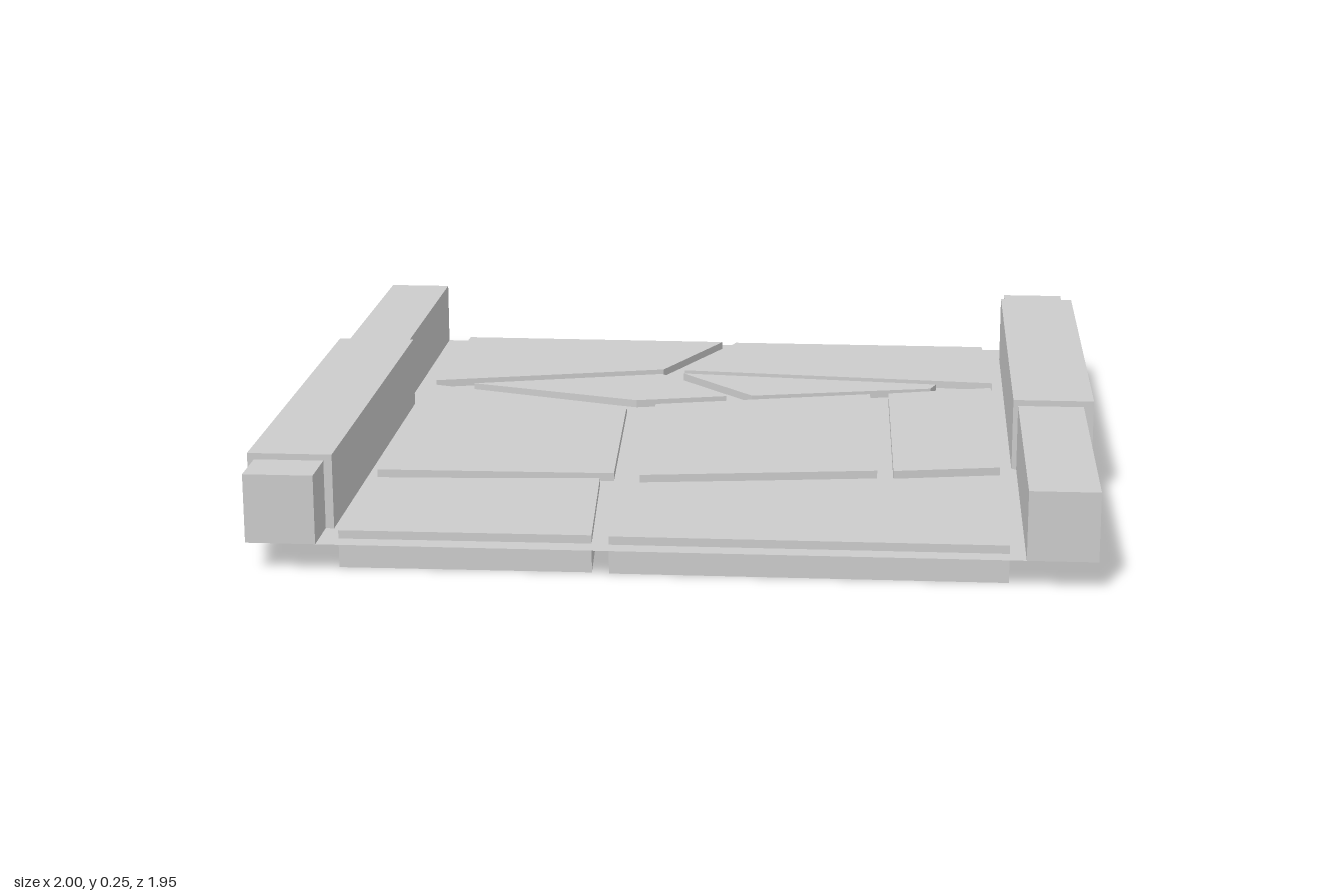
import * as THREE from 'three';

const STONE_TOP = 0.09, BED_Y = 0.07;

// Corners [x, z] of each paving stone, clockwise as seen from above
const STONES = [
  [[-0.75, -0.94], [-0.005, -0.935], [-0.15, -0.605], [-0.77, -0.44]],
  [[0.035, -0.93], [0.75, -0.93], [0.77, -0.52], [-0.09, -0.6]],
  [[-0.66, -0.415], [-0.15, -0.555], [0.045, -0.33], [-0.195, -0.27]],
  [[-0.09, -0.565], [0.615, -0.495], [0.6, -0.45], [0.115, -0.34]],
  [[-0.77, -0.395], [-0.215, -0.205], [-0.185, 0.42], [-0.775, 0.43]],
  [[-0.14, -0.235], [0.435, -0.38], [0.465, 0.35], [-0.12, 0.43]],
  [[0.485, -0.39], [0.765, -0.47], [0.77, 0.3], [0.505, 0.35]],
  [[-0.77, 0.5], [-0.215, 0.465], [-0.185, 0.92], [-0.775, 0.925]],
  [[-0.17, 0.5], [0.775, 0.38], [0.775, 0.925], [-0.145, 0.925]],
];

// A stone is a flat top with vertical walls, open underneath
function stoneGeometry(corners) {
  const pos = [];
  const put = (...pts) => pts.forEach(([c, y]) => pos.push(c[0], y, c[1]));
  const n = corners.length, t = STONE_TOP;
  for (let i = 0; i < n; i++) {
    const a = corners[i], b = corners[(i + 1) % n];
    put([a, 0], [a, t], [b, t], [a, 0], [b, t], [b, 0]);
  }
  for (let i = 1; i < n - 1; i++) {
    put([corners[0], t], [corners[i + 1], t], [corners[i], t]);
  }
  const g = new THREE.BufferGeometry();
  g.setAttribute('position', new THREE.Float32BufferAttribute(pos, 3));
  g.computeVertexNormals();
  return g;
}

export function createModel() {
  const group = new THREE.Group();
  const solid = new THREE.MeshStandardMaterial({ color: 0xcccccc, flatShading: true });
  const thin = new THREE.MeshStandardMaterial({ color: 0xcccccc, flatShading: true, side: THREE.DoubleSide });

  const add = (name, geometry, material, parent = group) => {
    const mesh = new THREE.Mesh(geometry, material);
    mesh.name = name;
    parent.add(mesh);
    return mesh;
  };
  // Box given by its extents on each axis
  const block = (name, x0, x1, y0, y1, z0, z1) =>
    add(name, new THREE.BoxGeometry(x1 - x0, y1 - y0, z1 - z0), solid)
      .position.set((x0 + x1) / 2, (y0 + y1) / 2, (z0 + z1) / 2);

  // Thin sheet between the stones
  const bed = add('floorBed', new THREE.PlaneGeometry(1.635, 1.95).rotateX(-Math.PI / 2), thin);
  bed.position.set(-0.003, BED_Y, -0.003);

  // Irregular paving
  const paving = new THREE.Group();
  paving.name = 'paving';
  group.add(paving);
  STONES.forEach((c, i) => add(`pavingStone${i + 1}`, stoneGeometry(c), thin, paving));

  // Side kerbs, each with a thicker block part way along
  block('leftKerb', 0.812, 0.975, BED_Y, 0.235, -0.978, 0.972);
  block('leftKerbBlock', 0.8, 1, 0.05, 0.25, -0.865, 0.245);
  block('rightKerb', -0.984, -0.82, BED_Y, 0.235, -0.978, 0.972);
  block('rightKerbBlock', -1, -0.8, 0.05, 0.25, -0.262, 0.85);

  return group;
}
